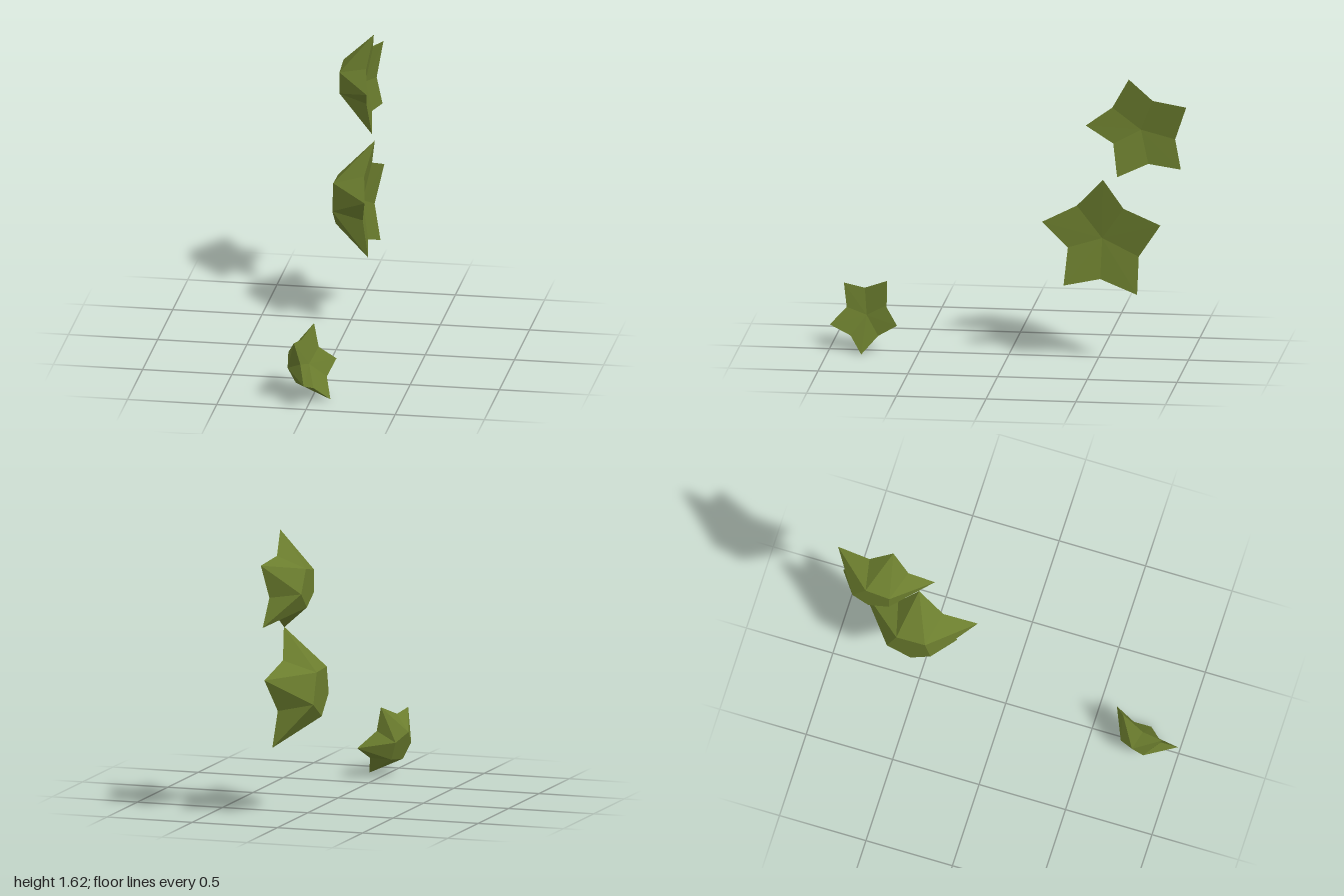
import * as THREE from 'three';

// Each shell: rim outline as [z, y] pairs, counter-clockwise seen from +x.
// The rim plane is x = x0 + slopeY * (y - y0) + slopeZ * (z - z0).
const shells = [
  {
    name: 'largeStarShell',
    tips: [[-0.54, 1.05], [-0.2, 0.8], [-0.32, 0.44], [-0.73, 0.4], [-0.86, 0.8]],
    notches: [[-0.39, 0.89], [-0.34, 0.65], [-0.52, 0.475], [-0.735, 0.61], [-0.65, 0.88]],
    x0: 0.126, y0: 0.7, z0: -0.53, slopeY: 0, slopeZ: 0,
    sink: 0.034, dish: 0.032, depth: 0.182, baseScale: 0.64,
  },
  {
    name: 'upperStarShell',
    tips: [[-0.68, 1.62], [-0.44, 1.35], [-0.615, 1.06], [-0.97, 1.115], [-1.0, 1.47]],
    notches: [[-0.585, 1.45], [-0.59, 1.245], [-0.785, 1.135], [-0.935, 1.28], [-0.81, 1.495]],
    x0: 0.097, y0: 1.32, z0: -0.74, slopeY: 0, slopeZ: 0,
    sink: 0.027, dish: 0.03, depth: 0.16, baseScale: 0.61,
  },
  {
    name: 'smallTiltedStarShell',
    tips: [[0.68, 0.4], [0.93, 0.365], [1.0, 0.14], [0.81, 0.005], [0.61, 0.175]],
    notches: [[0.81, 0.345], [0.91, 0.235], [0.88, 0.09], [0.72, 0.105], [0.685, 0.265]],
    x0: 0.022, y0: 0.217, z0: 0.806, slopeY: -0.4, slopeZ: -0.34,
    sink: 0.026, dish: 0.02, depth: 0.115, baseScale: 0.63,
  },
];

function starShell(s, material) {
  const onRim = (sink) => ([z, y]) => new THREE.Vector3(
    s.x0 + s.slopeY * (y - s.y0) + s.slopeZ * (z - s.z0) - sink, y, z);
  const tips = s.tips.map(onRim(0));
  const notches = s.notches.map(onRim(s.sink));
  const normal = new THREE.Vector3(1, -s.slopeY, -s.slopeZ).normalize();
  const middle = notches.reduce((sum, p) => sum.add(p), new THREE.Vector3()).divideScalar(5);
  const hollow = middle.clone().addScaledVector(normal, -s.dish);
  // Small flat pentagon behind the star, its corners in line with the notches
  const base = notches.map((p) => p.clone().sub(middle).multiplyScalar(s.baseScale)
    .add(middle).addScaledVector(normal, -s.depth));

  const points = [];
  for (let i = 0; i < 5; i++) {
    const j = (i + 4) % 5;
    const tip = tips[i];
    points.push(
      // dished face
      hollow, notches[j], tip, hollow, tip, notches[i],
      // outer ridge of the point and its two flanks
      base[j], base[i], tip,
      base[j], tip, notches[j],
      base[i], notches[i], tip,
    );
  }
  // closed base
  for (let i = 1; i < 4; i++) points.push(base[0], base[i + 1], base[i]);

  const geometry = new THREE.BufferGeometry().setFromPoints(points);
  geometry.computeVertexNormals();
  const mesh = new THREE.Mesh(geometry, material);
  mesh.name = s.name;
  return mesh;
}

export function createModel() {
  const olive = new THREE.MeshStandardMaterial({ color: 0x6b7d2e });
  olive.name = 'olive green';
  olive.flatShading = true;
  const group = new THREE.Group();
  group.name = 'starShells';
  for (const s of shells) group.add(starShell(s, olive));
  return group;
}
